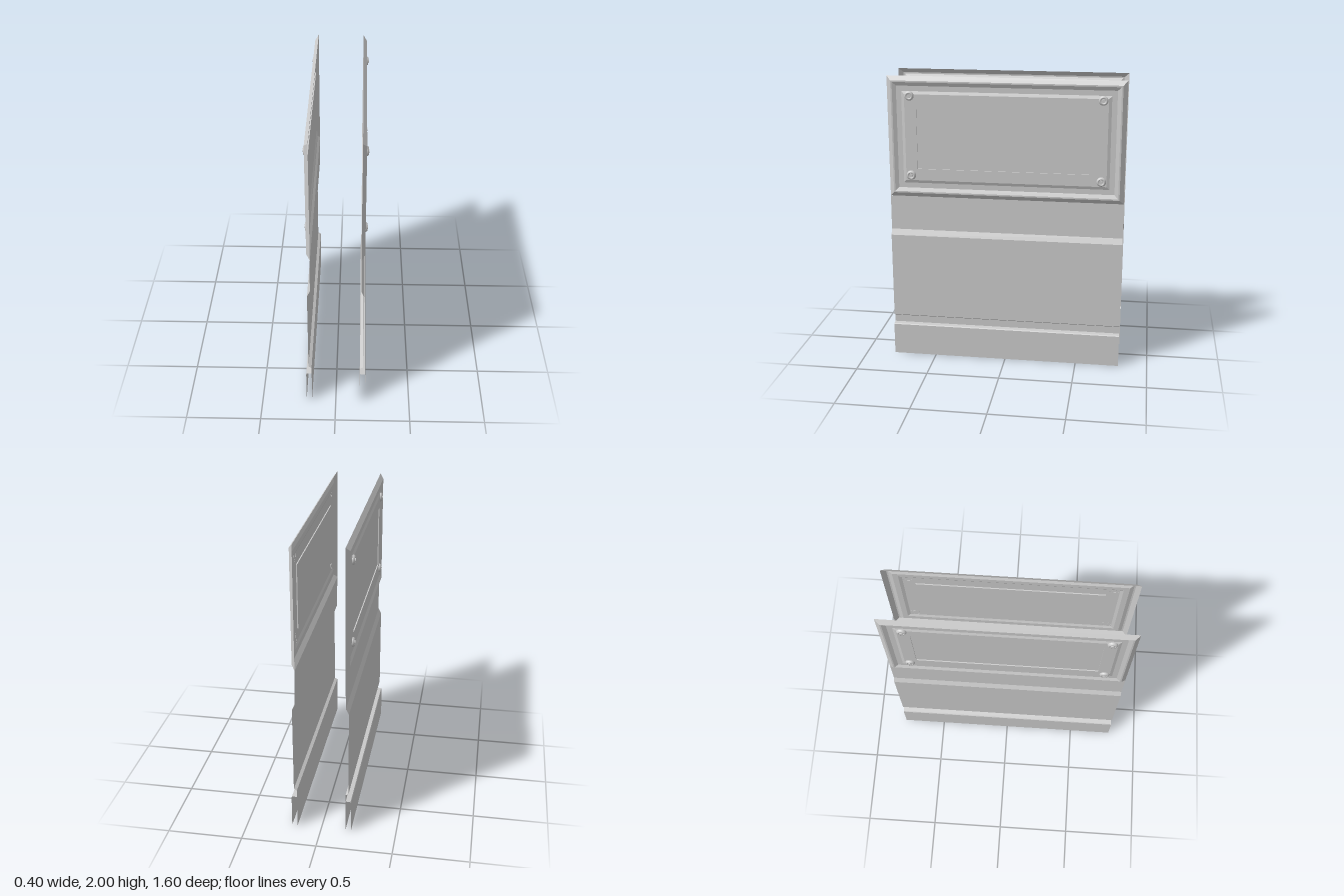
import * as THREE from 'three';

const HALF = 0.8; // half length along z
const sheetMaterial = new THREE.MeshStandardMaterial({ color: 0xcccccc, side: THREE.DoubleSide });
const boltMaterial = new THREE.MeshStandardMaterial({ color: 0xcccccc });

// Rectangle corners, anticlockwise as seen from +x
const rect = (x, y0, y1, z) => [[x, y0, z], [x, y0, -z], [x, y1, -z], [x, y1, z]];

// Flat-faceted mesh from four-cornered faces
function quadMesh(name, quads) {
  const pos = quads.flatMap(([a, b, c, d]) => [a, b, c, a, c, d].flat());
  const geo = new THREE.BufferGeometry();
  geo.setAttribute('position', new THREE.Float32BufferAttribute(pos, 3));
  geo.computeVertexNormals();
  const mesh = new THREE.Mesh(geo, sheetMaterial);
  mesh.name = name;
  return mesh;
}

// Folded sheet: an [x, y] profile, bottom to top, swept along z
function foldedSheet(name, profile) {
  const quads = profile.slice(1).map(([x1, y1], i) => {
    const [x0, y0] = profile[i];
    return [[x0, y0, HALF], [x0, y0, -HALF], [x1, y1, -HALF], [x1, y1, HALF]];
  });
  return quadMesh(name, quads);
}

// Pressed panel: nested rectangles given as [inset, x], closed in the middle
function pressedPanel(name, y0, y1, steps) {
  const rings = steps.map(([d, x]) => rect(x, y0 + d, y1 - d, HALF - d));
  const quads = [];
  for (let r = 0; r < rings.length - 1; r++) {
    for (let i = 0; i < 4; i++) {
      const j = (i + 1) % 4;
      quads.push([rings[r][i], rings[r][j], rings[r + 1][j], rings[r + 1][i]]);
    }
  }
  quads.push(rings[rings.length - 1]);
  return quadMesh(name, quads);
}

// Round collar with a six-sided head, pointing along +x
function bolt(y, z) {
  const group = new THREE.Group();
  group.name = 'bolt';
  const collar = new THREE.Mesh(new THREE.LatheGeometry([
    [0.032, 0], [0.032, 0.006], [0.025, 0.016], [0.018, 0.016], [0.016, 0.01], [0, 0.01],
  ].map(([r, h]) => new THREE.Vector2(r, h)), 20), sheetMaterial);
  collar.name = 'boltCollar';
  const head = new THREE.Mesh(new THREE.CylinderGeometry(0.012, 0.014, 0.02, 6), boltMaterial);
  head.name = 'boltHead';
  head.position.y = 0.01;
  group.add(collar, head);
  group.rotation.z = -Math.PI / 2;
  group.position.set(0.179, y, z);
  return group;
}

function sidePanel(name) {
  const side = new THREE.Group();
  side.name = name;

  // Lower sheet with the shallow raised band
  side.add(foldedSheet('lowerSheet', [
    [0.163, 0], [0.163, 0.28], [0.183, 0.292], [0.183, 0.89], [0.164, 0.93], [0.161, 1.17],
  ]));

  // Skirt standing off the sheet, with its top lip folded inwards
  side.add(foldedSheet('skirt', [[0.2, 0], [0.2, 0.222], [0.196, 0.228], [0.164, 0.231]]));

  // Upper panel: raised rim, groove, plateau and shallow central recess
  side.add(pressedPanel('upperPanel', 1.17, 2, [
    [0, 0.16], [0.03, 0.184], [0.04, 0.184], [0.065, 0.172],
    [0.1, 0.172], [0.12, 0.18], [0.2, 0.18], [0.2, 0.173],
  ]));

  for (const y of [1.325, 1.87]) {
    for (const z of [-0.645, 0.645]) side.add(bolt(y, z));
  }
  return side;
}

export function createModel() {
  const model = new THREE.Group();
  model.name = 'panelPair';
  const left = sidePanel('leftSide');
  const right = sidePanel('rightSide');
  right.rotation.y = Math.PI; // each side is symmetric along z
  model.add(left, right);
  return model;
}
